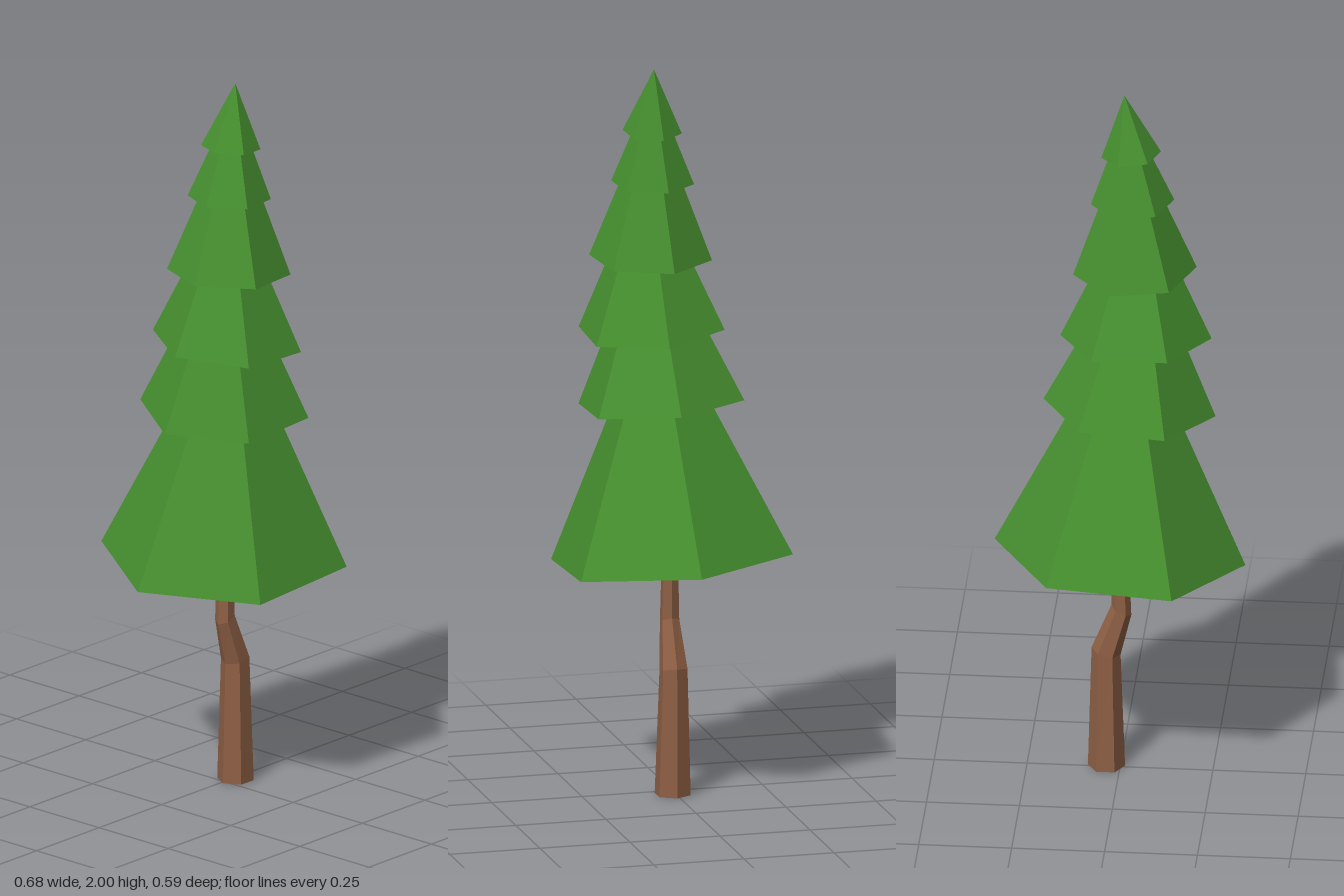
import * as THREE from 'three';

const SIDES = 6;

// Flat-shaded skin through a stack of hexagonal sections, listed from bottom to top.
// Section: centre x, y, z, radius r (0 = point), slopes sx and sz, turn in radians.
function skin(sections) {
  const point = (s, i) => {
    const a = (i * Math.PI * 2) / SIDES + (s.turn || 0);
    const dx = s.r * Math.cos(a), dz = s.r * Math.sin(a);
    return [s.x + dx, s.y + (s.sx || 0) * dx + (s.sz || 0) * dz, s.z + dz];
  };
  const pos = [];
  for (let k = 0; k < sections.length - 1; k++) {
    const lo = sections[k], hi = sections[k + 1];
    for (let i = 0; i < SIDES; i++) {
      const a = point(lo, i), b = point(lo, i + 1), c = point(hi, i), d = point(hi, i + 1);
      if (lo.r > 0) pos.push(...c, ...b, ...a);
      if (hi.r > 0) pos.push(...c, ...d, ...b);
    }
  }
  const geo = new THREE.BufferGeometry();
  geo.setAttribute('position', new THREE.Float32BufferAttribute(pos, 3));
  geo.computeVertexNormals();
  return geo;
}

export function createModel() {
  const tree = new THREE.Group();
  tree.name = 'tree';
  const green = new THREE.MeshStandardMaterial({ name: 'needle green', color: 0x468f2f });
  const brown = new THREE.MeshStandardMaterial({ name: 'bark brown', color: 0x8f6045 });

  const add = (name, sections, material) => {
    const mesh = new THREE.Mesh(skin(sections), material);
    mesh.name = name;
    tree.add(mesh);
  };

  // Crooked trunk with a closed foot, ending inside the lowest tier
  add('trunk', [
    { x: 0.037, y: 0, z: 0.008, r: 0 },
    { x: 0.037, y: 0, z: 0.008, r: 0.05 },
    { x: 0.038, y: 0.345, z: 0.006, r: 0.039, sx: 0.25 },
    { x: -0.003, y: 0.47, z: 0.006, r: 0.027, sx: 0.5 },
    { x: 0.002, y: 0.76, z: 0.006, r: 0.02 },
    { x: 0.002, y: 0.76, z: 0.006, r: 0 },
  ], brown);

  // Foliage tiers: rim centre, radius, slopes and turn, then the tip
  const tiers = [
    { rim: [0, 0.648, 0], r: 0.338, sx: 0.066, sz: -0.068, turn: 0.02, tip: [-0.022, 1.36, 0.042] },
    { rim: [-0.024, 1.073, 0.023], r: 0.232, sx: 0.063, sz: -0.07, turn: 0.025, tip: [-0.05, 1.57, 0.05] },
    { rim: [-0.039, 1.275, 0.046], r: 0.204, sx: -0.025, sz: -0.073, turn: 0.02, tip: [-0.045, 1.72, 0.06] },
    { rim: [-0.036, 1.472, 0.05], r: 0.166, sx: -0.04, sz: 0, turn: -0.14, tip: [-0.02, 1.9, 0.05] },
    { rim: [-0.03, 1.681, 0.046], r: 0.112, sx: -0.035, sz: 0, turn: -0.14, tip: [-0.015, 1.96, 0.049] },
    { rim: [-0.026, 1.823, 0.048], r: 0.08, sx: -0.09, sz: 0, turn: -0.14, tip: [-0.008, 2, 0.048] },
  ];
  tiers.forEach(({ rim: [x, y, z], r, sx, sz, turn, tip }, i) => {
    add(`foliageTier${i + 1}`, [
      { x, y: y + r * 0.24, z, r: 0 }, // hollow underside
      { x, y, z, r, sx, sz, turn },
      { x: tip[0], y: tip[1], z: tip[2], r: 0 },
    ], green);
  });

  return tree;
}
